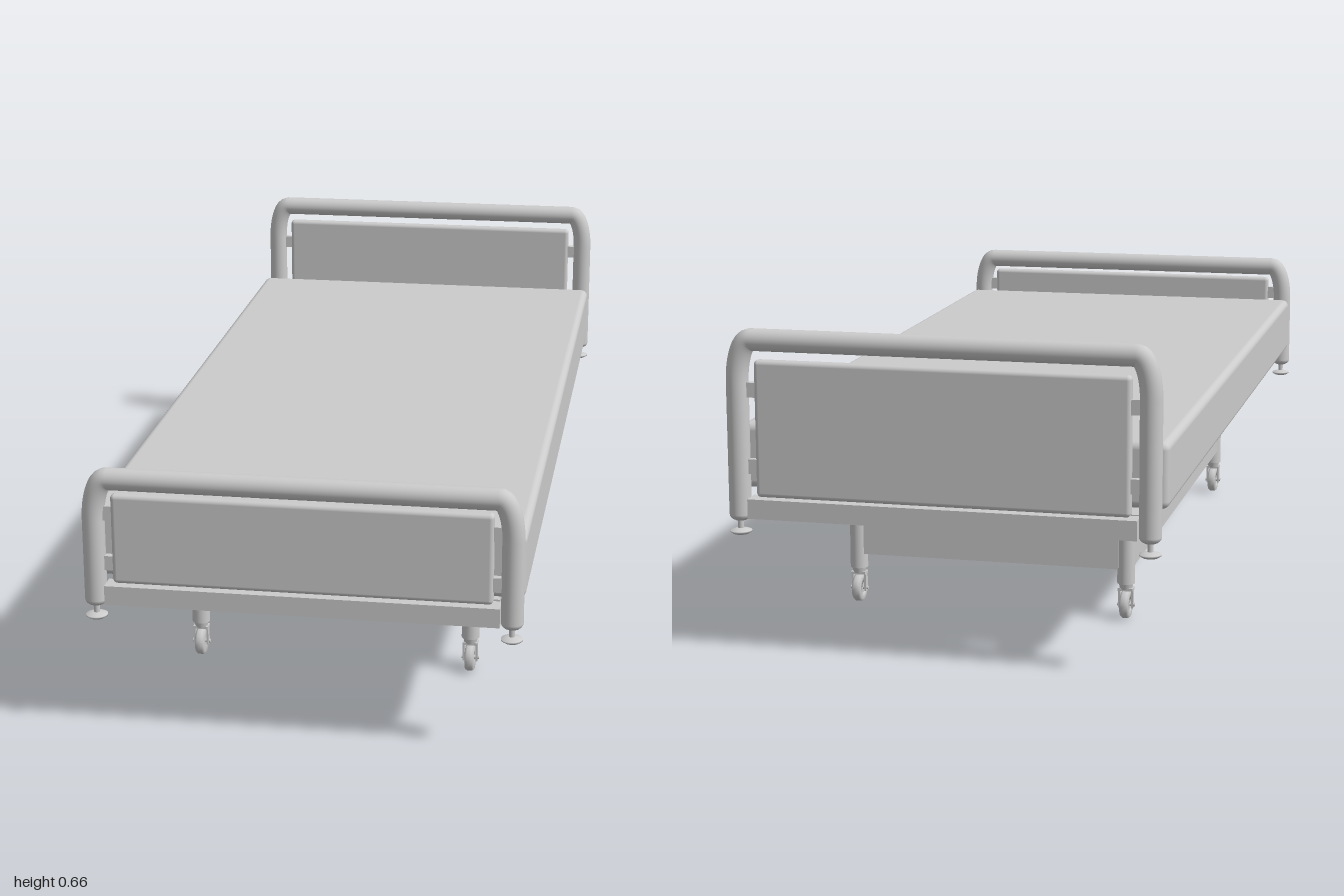
import * as THREE from 'three';
import { RoundedBoxGeometry } from 'three/addons/geometries/RoundedBoxGeometry.js';

const material = new THREE.MeshStandardMaterial({ color: 0xcccccc });

function add(parent, name, geometry, x = 0, y = 0, z = 0) {
  const mesh = new THREE.Mesh(geometry, material);
  mesh.name = name;
  mesh.position.set(x, y, z);
  parent.add(mesh);
  return mesh;
}
const box = (w, h, d) => new THREE.BoxGeometry(w, h, d);
const rod = (r, length, sides = 24) => new THREE.CylinderGeometry(r, r, length, sides);
const rodX = (r, length, sides = 24) => rod(r, length, sides).rotateZ(Math.PI / 2);

// Bent tube with an inset panel and a levelling foot under each post
function endBoard(name, top, panelTop, z) {
  const board = new THREE.Group();
  board.name = name;
  board.position.z = z;
  const r = 0.0225, px = 0.4175, cy = top - r, low = 0.285;
  const bx = 0.388, by = cy - 0.085;
  const v = (x, y) => new THREE.Vector3(x, y, 0);
  const path = new THREE.CurvePath();
  path.add(new THREE.LineCurve3(v(-px, low), v(-px, by)));
  path.add(new THREE.CubicBezierCurve3(v(-px, by), v(-px, by + 0.045), v(-bx - 0.017, cy), v(-bx, cy)));
  path.add(new THREE.LineCurve3(v(-bx, cy), v(bx, cy)));
  path.add(new THREE.CubicBezierCurve3(v(bx, cy), v(bx + 0.017, cy), v(px, by + 0.045), v(px, by)));
  path.add(new THREE.LineCurve3(v(px, by), v(px, low)));
  add(board, 'bentTube', new THREE.TubeGeometry(path, 240, r, 24));

  const bottom = 0.322, h = panelTop - bottom;
  add(board, 'panel', new RoundedBoxGeometry(0.76, h, 0.025, 4, 0.009), 0, bottom + h / 2, 0);
  for (const s of [-1, 1]) {
    for (const t of [0.22, 0.78]) {
      add(board, 'panelClip', box(0.03, 0.03, 0.014), s * 0.388, bottom + h * t, 0);
    }
    add(board, 'postEnd', new THREE.SphereGeometry(r, 24, 12).scale(1, 0.65, 1), s * px, low, 0);
    add(board, 'footStem', rod(0.006, 0.03, 16), s * px, 0.263, 0);
    const foot = [[0, 0.244], [0.016, 0.244], [0.022, 0.248], [0.022, 0.251], [0.01, 0.255], [0, 0.256]];
    add(board, 'levellingFoot', new THREE.LatheGeometry(foot.map(p => new THREE.Vector2(...p)), 24), s * px, 0, 0);
  }
  return board;
}

// Leg post with a forked swivel wheel below
function legWithCaster(x, z) {
  const leg = new THREE.Group();
  leg.name = 'legWithCaster';
  leg.position.set(x, 0, z);
  add(leg, 'post', rod(0.019, 0.117), 0, 0.1365, 0);
  add(leg, 'swivel', new THREE.CylinderGeometry(0.016, 0.013, 0.014, 20), 0, 0.072, 0);
  add(leg, 'forkBridge', box(0.032, 0.006, 0.022), 0, 0.065, 0);
  const profile = [[0.012, -0.009], [0.026, -0.01], [0.03, -0.005], [0.03, 0.005], [0.026, 0.01], [0.012, 0.009], [0.012, -0.009]];
  const wheel = new THREE.LatheGeometry(profile.map(p => new THREE.Vector2(...p)), 28).rotateZ(Math.PI / 2);
  add(leg, 'wheel', wheel, 0, 0.031, 0);
  add(leg, 'hub', rodX(0.013, 0.016), 0, 0.031, 0);
  add(leg, 'axle', rodX(0.004, 0.038, 12), 0, 0.031, 0);
  for (const s of [-1, 1]) add(leg, 'forkSide', box(0.004, 0.042, 0.014), s * 0.014, 0.045, 0);
  return leg;
}

export function createModel() {
  const bed = new THREE.Group();
  bed.name = 'adjustableBed';

  add(bed, 'mattress', new RoundedBoxGeometry(0.88, 0.135, 1.85, 5, 0.016), 0, 0.3875, 0.02);
  bed.add(endBoard('headboard', 0.662, 0.6, -0.976));
  bed.add(endBoard('footboard', 0.562, 0.51, 0.976));

  // Upper frame
  const upper = new THREE.Group();
  upper.name = 'upperFrame';
  bed.add(upper);
  for (const s of [-1, 1]) {
    add(upper, 'sideRail', box(0.06, 0.04, 1.9), s * 0.36, 0.3, 0);
    add(upper, 'endRail', box(0.79, 0.04, 0.04), 0, 0.3, s * 0.978);
  }

  // Wheeled base
  const base = new THREE.Group();
  base.name = 'wheeledBase';
  bed.add(base);
  for (const s of [-1, 1]) {
    add(base, 'baseSideBeam', box(0.026, 0.075, 1.15), s * 0.295, 0.1475, 0);
    add(base, 'baseEndBeam', box(0.56, 0.075, 0.026), 0, 0.1475, s * 0.59);
    for (const t of [-1, 1]) base.add(legWithCaster(s * 0.295, t * 0.588));
  }

  // Crossed lifting arms, with cross tubes below and pivots above
  const lift = new THREE.Group();
  lift.name = 'scissorLift';
  bed.add(lift);
  for (const t of [-1, 1]) {
    add(lift, 'crossTube', rodX(0.016, 0.57), 0, 0.151, t * 0.43);
    for (const s of [-1, 1]) {
      const arm = add(lift, 'liftArm', box(0.009, 0.047, 0.97), s * (0.2435 + t * 0.0055), 0.22, 0);
      arm.rotation.x = -t * Math.atan(0.16);
      add(lift, 'upperPivot', rodX(0.012, 0.1), s * 0.282, 0.293, t * 0.455);
    }
  }
  for (const s of [-1, 1]) add(lift, 'centrePivot', rodX(0.008, 0.026, 16), s * 0.2435, 0.22, 0);

  return bed;
}
